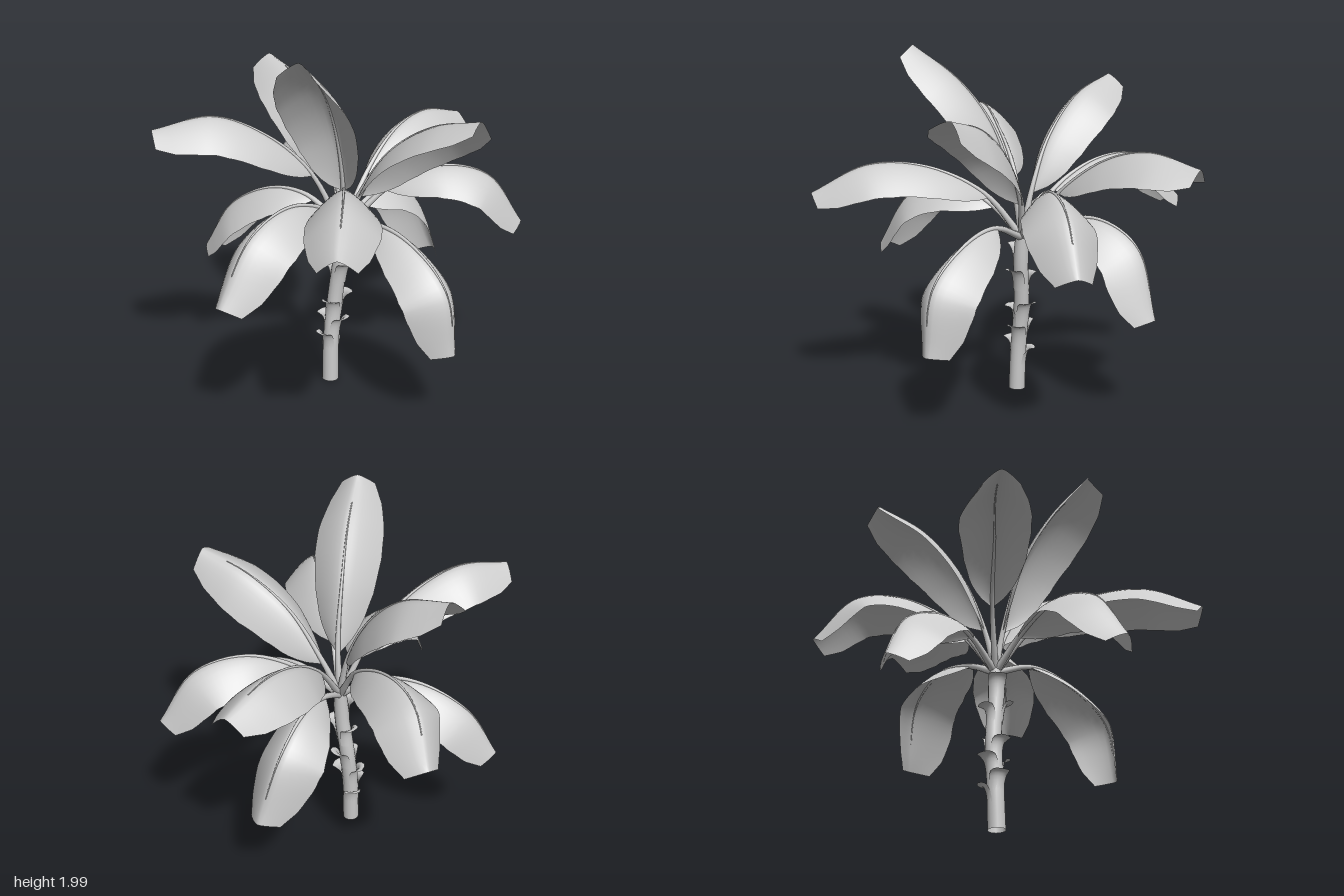
import * as THREE from 'three';

const material = new THREE.MeshStandardMaterial({ color: 0xcccccc, side: THREE.DoubleSide });
const V = (x, y, z) => new THREE.Vector3(x, y, z);

function part(name, geometry) {
  const mesh = new THREE.Mesh(geometry, material);
  mesh.name = name;
  return mesh;
}

// Smooth surface from a rule fn(u, v), with u and v in 0..1
function surface(nu, nv, fn) {
  const positions = [], index = [];
  for (let i = 0; i <= nu; i++)
    for (let j = 0; j <= nv; j++) {
      const p = fn(i / nu, j / nv);
      positions.push(p.x, p.y, p.z);
      if (i < nu && j < nv) {
        const a = i * (nv + 1) + j, b = a + nv + 1;
        index.push(a, a + 1, b, b, a + 1, b + 1);
      }
    }
  const g = new THREE.BufferGeometry();
  g.setAttribute('position', new THREE.Float32BufferAttribute(positions, 3));
  g.setIndex(index);
  g.computeVertexNormals();
  return g;
}

// Tube whose radius follows a rule along its length
function taperedTube(curve, segments, sides, radius) {
  const g = new THREE.TubeGeometry(curve, segments, 1, sides);
  const pos = g.attributes.position, p = V(0, 0, 0);
  for (let i = 0; i <= segments; i++) {
    const c = curve.getPointAt(i / segments);
    for (let j = 0; j <= sides; j++) {
      const k = i * (sides + 1) + j;
      p.fromBufferAttribute(pos, k).sub(c).multiplyScalar(radius(i / segments)).add(c);
      pos.setXYZ(k, p.x, p.y, p.z);
    }
  }
  return g;
}

// Half width of a blade from its base to its blunt tip
const WIDTHS = [[0, 0.015], [0.06, 0.075], [0.16, 0.125], [0.32, 0.165], [0.55, 0.19],
  [0.75, 0.185], [0.9, 0.15], [1, 0.095]];
function halfWidth(t) {
  const i = Math.max(1, WIDTHS.findIndex(w => w[0] >= t));
  const [a, wa] = WIDTHS[i - 1], [b, wb] = WIDTHS[i];
  return THREE.MathUtils.lerp(wa, wb, (t - a) / (b - a));
}

const CROWN = V(-0.045, 0.92, 0);

// Midrib points of each leaf: blade base, two along the arch, tip
const LEAVES = [
  [[0.2, 1.22, -0.07], [0.45, 1.4, -0.13], [0.7, 1.46, -0.17], [1.0, 1.4, -0.2]],
  [[0.04, 1.2, -0.2], [0.14, 1.35, -0.5], [0.24, 1.33, -0.74], [0.36, 1.09, -0.93]],
  [[-0.03, 1.2, -0.07], [-0.03, 1.48, -0.21], [-0.02, 1.7, -0.44], [-0.02, 1.8, -0.73]],
  [[-0.07, 1.2, 0.04], [-0.17, 1.55, 0.1], [-0.33, 1.8, 0.2], [-0.56, 1.99, 0.33]],
  [[-0.01, 1.02, 0.26], [0.02, 0.97, 0.52], [0.04, 0.78, 0.77], [0.05, 0.44, 0.83]],
  [[0.19, 1.17, 0.13], [0.42, 1.28, 0.28], [0.65, 1.22, 0.43], [0.82, 0.94, 0.54]],
  [[0.16, 1.03, -0.06], [0.4, 1.07, -0.13], [0.63, 0.94, -0.18], [0.78, 0.57, -0.15]],
  [[-0.22, 1.1, 0.07], [-0.5, 1.19, 0.13], [-0.78, 1.1, 0.19], [-1.0, 0.79, 0.23]],
  [[-0.2, 1.28, -0.1], [-0.42, 1.5, -0.2], [-0.66, 1.61, -0.32], [-0.96, 1.56, -0.44]],
  [[-0.17, 1.18, 0.17], [-0.36, 1.34, 0.42], [-0.56, 1.36, 0.67], [-0.77, 1.21, 0.9]],
  [[-0.12, 1.08, -0.2], [-0.22, 1.1, -0.42], [-0.35, 0.96, -0.67], [-0.45, 0.69, -0.81]],
];
// The upright front leaf, which is also rolled about its midrib
const ROLLED_LEAF = [[0.02, 1.15, 0.08], [0.08, 1.42, 0.26], [0.15, 1.59, 0.5], [0.22, 1.67, 0.79]];

function createLeaf(points, roll) {
  const leaf = new THREE.Group();
  leaf.name = 'leaf';
  const [base, low, high, tip] = points.map(p => V(...p));
  const curve = new THREE.CatmullRomCurve3([CROWN, base, low, high, tip]);
  const across = V(tip.x - CROWN.x, 0, tip.z - CROWN.z).normalize().cross(V(0, 1, 0));
  const start = CROWN.distanceTo(base) / curve.getLength() * 0.92;

  // Blade: two wings folding down from the midrib
  leaf.add(part('leafBlade', surface(22, 12, (u, v) => {
    const t = start + (1 - start) * u, s = v * 2 - 1, w = halfWidth(u);
    const tangent = curve.getTangentAt(t);
    const side = across.clone().applyAxisAngle(tangent, roll);
    const normal = side.clone().cross(tangent).normalize();
    return curve.getPointAt(t)
      .addScaledVector(side, s * w)
      .addScaledVector(normal, -0.85 * w * Math.pow(Math.abs(s), 1.4));
  })));

  // Stalk running on as the midrib and fading into the blade
  const rib = new THREE.CatmullRomCurve3(
    Array.from({ length: 12 }, (_, i) => curve.getPointAt(i / 11 * 0.86)));
  leaf.add(part('leafStalk', taperedTube(rib, 24, 8, t => 0.003 + 0.019 * Math.pow(1 - t, 1.5))));
  return leaf;
}

export function createModel() {
  const model = new THREE.Group();
  model.name = 'palmPlant';

  // Slightly leaning trunk, open at the foot
  const trunkPath = new THREE.CatmullRomCurve3([
    V(-0.115, 0, -0.03), V(-0.105, 0.25, -0.033), V(-0.078, 0.5, -0.03),
    V(-0.058, 0.75, -0.005), V(-0.045, 0.97, 0)]);
  const trunkRadius = t => (t > 0.9 ? 0.042 - (t - 0.9) * 0.2 : 0.048 - 0.007 * t);
  model.add(part('trunk', taperedTube(trunkPath, 24, 16, trunkRadius)));
  const cap = part('trunkTop', new THREE.CircleGeometry(trunkRadius(1), 16));
  cap.rotation.x = -Math.PI / 2;
  cap.position.copy(trunkPath.getPoint(1));
  model.add(cap);

  // Old leaf sheaths curling off the trunk: base height and heading
  const sheaths = [[0.18, 3.1], [0.12, -0.9], [0.28, -1.9], [0.27, 1.3], [0.38, 2.7],
    [0.41, 0.2], [0.61, 1.6], [0.58, -1.5], [0.75, 3.4]];
  for (const [base, heading] of sheaths) {
    model.add(part('leafSheath', surface(8, 8, (u, v) => {
      const y = base + 0.13 * Math.sin(u * 1.7);
      const c = trunkPath.getPoint(y / 0.97);
      const a = heading + (v * 2 - 1) * (1.3 - 0.85 * u * u);
      const r = 0.046 + 0.05 * Math.pow(u, 2.5);
      return V(c.x + r * Math.cos(a), y, c.z + r * Math.sin(a));
    })));
  }

  LEAVES.forEach(points => model.add(createLeaf(points, 0)));
  model.add(createLeaf(ROLLED_LEAF, -0.3));
  return model;
}
